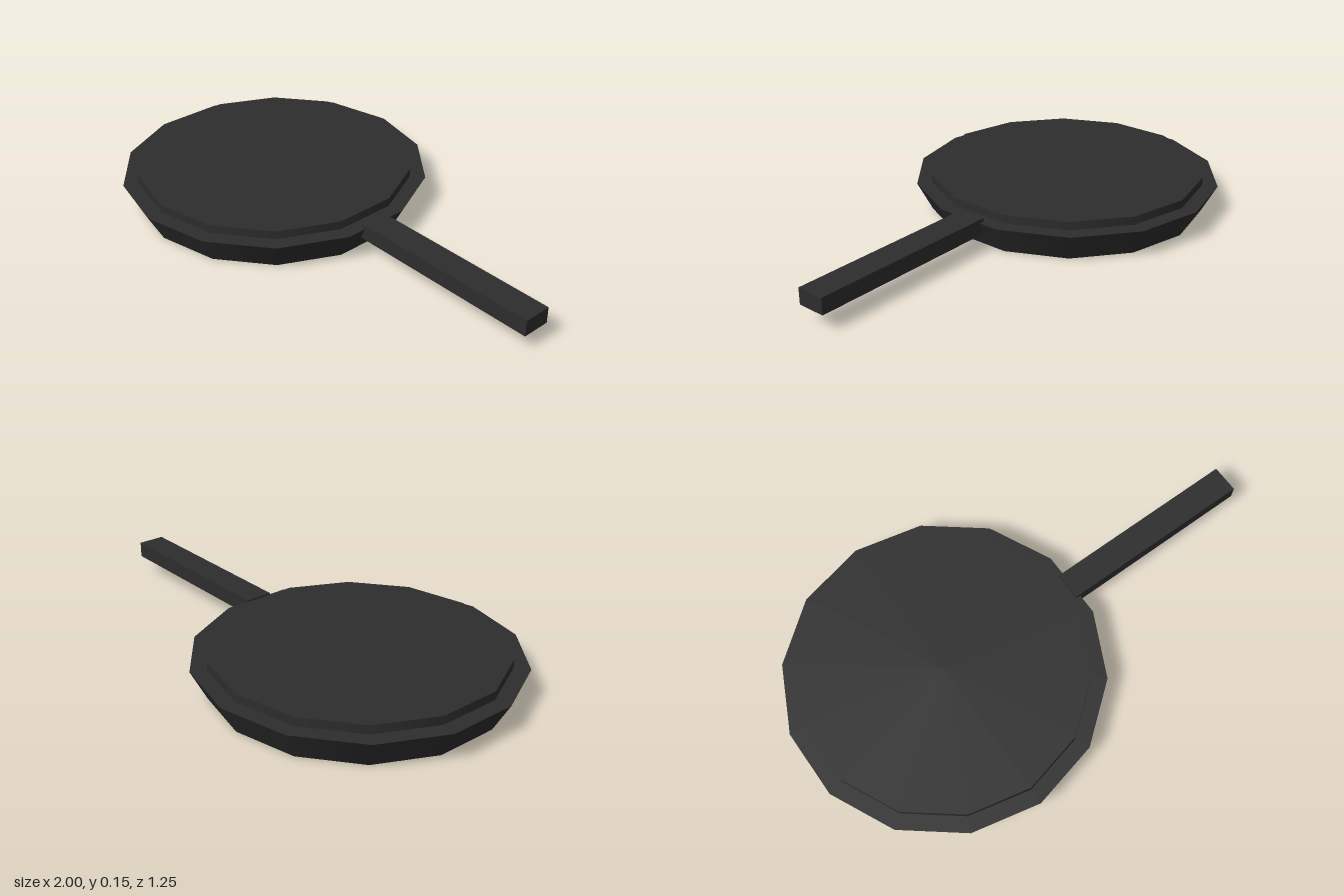
import * as THREE from 'three';

const SIDES = 14;
const CENTER_X = -0.39;

export function createModel() {
  const group = new THREE.Group();
  const iron = new THREE.MeshStandardMaterial({ color: 0x2d2d2d });
  iron.name = 'dark iron';

  const add = (name, geometry, x, y) => {
    const mesh = new THREE.Mesh(geometry, iron);
    mesh.name = name;
    mesh.position.set(x, y, 0);
    group.add(mesh);
  };

  // Flared body of the pan
  add('panBody', new THREE.CylinderGeometry(0.625, 0.5625, 0.117, SIDES), CENTER_X, 0.0585);

  // Raised disc inside the rim
  add('raisedDisc', new THREE.CylinderGeometry(0.5625, 0.5625, 0.04, SIDES), CENTER_X, 0.131);

  // Straight handle, its inner end sunk into the rim
  add('handle', new THREE.BoxGeometry(0.8, 0.065, 0.113), 0.6, 0.1);

  return group;
}
